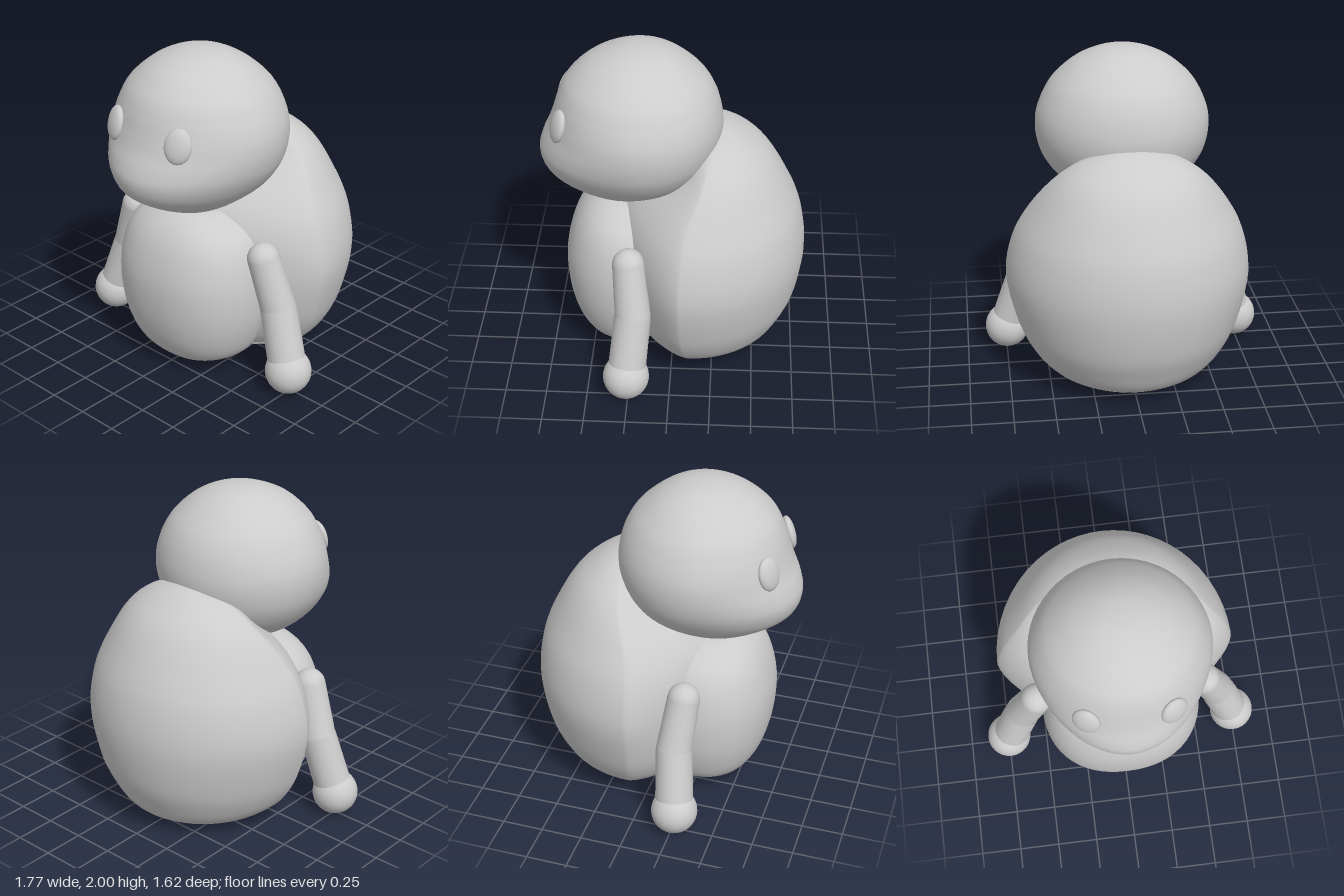
import * as THREE from 'three';

const grey = new THREE.MeshStandardMaterial({ color: 0xcccccc });
grey.name = 'grey';

// Loft through rows [y, halfWidth, zBack, zCentre, zFront], from bottom to top.
function loft(rows, frontPower = 2, backPower = 2, segs = 56, steps = 64) {
  const curve = (f) => new THREE.CatmullRomCurve3(rows.map(f), false, 'catmullrom', 0.5);
  const a = curve((r) => new THREE.Vector3(r[0], r[1], 0));
  const b = curve((r) => new THREE.Vector3(r[2], r[3], r[4]));
  const pos = [], idx = [];
  const bottom = rows[0][0], top = rows[rows.length - 1][0];
  for (let j = 0; j <= steps; j++) {
    const p = a.getPoint(j / steps), q = b.getPoint(j / steps);
    const y = THREE.MathUtils.clamp(p.x, bottom, top), w = Math.max(p.y, 0);
    for (let i = 0; i < segs; i++) {
      const t = (i / segs) * Math.PI * 2, c = Math.cos(t), s = Math.sin(t);
      const e = 2 / (s > 0 ? frontPower : backPower);
      const depth = s > 0 ? q.z - q.y : q.y - q.x;
      pos.push(w * Math.sign(c) * Math.abs(c) ** e, y, q.y + depth * Math.sign(s) * Math.abs(s) ** e);
      if (j < steps) {
        const k = j * segs + i, n = j * segs + ((i + 1) % segs);
        idx.push(k, k + segs, n, n, k + segs, n + segs);
      }
    }
  }
  const g = new THREE.BufferGeometry();
  g.setAttribute('position', new THREE.Float32BufferAttribute(pos, 3));
  g.setIndex(idx);
  g.computeVertexNormals();
  return g;
}

function add(parent, name, geometry) {
  const mesh = new THREE.Mesh(geometry, grey);
  mesh.name = name;
  parent.add(mesh);
  return mesh;
}

// Tapered limb between two points
function limb(parent, name, from, to, r0, r1) {
  const dir = to.clone().sub(from);
  const m = add(parent, name, new THREE.CylinderGeometry(r1, r0, dir.length(), 24, 1, true));
  m.position.copy(from).addScaledVector(dir, 0.5);
  m.quaternion.setFromUnitVectors(new THREE.Vector3(0, 1, 0), dir.normalize());
}

function ball(parent, name, at, r) {
  add(parent, name, new THREE.SphereGeometry(r, 28, 20)).position.copy(at);
}

export function createModel() {
  const model = new THREE.Group();
  model.name = 'seatedFigure';

  // Large rounded back, flat underneath and tapering forward
  add(model, 'back', loft([
    [0.045, 0, -0.15, -0.15, -0.15], [0.045, 0.4, -0.52, -0.12, 0.2], [0.055, 0.44, -0.57, -0.12, 0.22],
    [0.1, 0.52, -0.64, -0.11, 0.27], [0.2, 0.61, -0.7, -0.09, 0.32], [0.37, 0.69, -0.77, -0.07, 0.36],
    [0.65, 0.75, -0.81, -0.06, 0.38], [0.9, 0.71, -0.78, -0.07, 0.38], [1.1, 0.61, -0.7, -0.1, 0.27],
    [1.3, 0.46, -0.58, -0.18, 0.02], [1.42, 0.3, -0.44, -0.22, -0.05], [1.48, 0.12, -0.32, -0.24, -0.16],
    [1.49, 0, -0.25, -0.25, -0.25],
  ], 1.45));

  // Rounded belly
  add(model, 'belly', loft([
    [0.045, 0, 0.27, 0.27, 0.27], [0.045, 0.22, 0.1, 0.27, 0.46], [0.06, 0.29, 0.05, 0.26, 0.51],
    [0.13, 0.39, 0, 0.25, 0.575], [0.25, 0.45, -0.05, 0.25, 0.63], [0.42, 0.49, -0.08, 0.25, 0.665],
    [0.62, 0.495, -0.08, 0.25, 0.67], [0.8, 0.46, -0.05, 0.25, 0.63], [0.92, 0.39, 0, 0.25, 0.57],
    [1.0, 0.27, 0.05, 0.26, 0.49], [1.035, 0.15, 0.1, 0.27, 0.41], [1.04, 0, 0.28, 0.28, 0.28],
  ], 2.25));

  // Head with a forward muzzle
  add(model, 'head', loft([
    [1.03, 0, 0.36, 0.36, 0.36], [1.035, 0.12, 0.22, 0.34, 0.43], [1.08, 0.24, 0.05, 0.3, 0.55],
    [1.15, 0.345, -0.1, 0.26, 0.68], [1.23, 0.43, -0.19, 0.23, 0.78], [1.33, 0.495, -0.25, 0.22, 0.813],
    [1.42, 0.525, -0.28, 0.22, 0.793], [1.51, 0.535, -0.29, 0.22, 0.752], [1.6, 0.525, -0.28, 0.22, 0.72],
    [1.7, 0.487, -0.25, 0.22, 0.687], [1.8, 0.425, -0.19, 0.22, 0.635], [1.9, 0.315, -0.08, 0.21, 0.53],
    [1.96, 0.205, 0.02, 0.21, 0.41], [1.99, 0.105, 0.11, 0.21, 0.31], [2.0, 0, 0.21, 0.21, 0.21],
  ], 1.95));

  for (const side of [1, -1]) {
    const label = side > 0 ? 'left' : 'right';

    // Oval eye
    const eye = add(model, label + 'Eye', new THREE.SphereGeometry(1, 28, 20));
    eye.scale.set(0.083, 0.104, 0.036);
    eye.position.set(side * 0.25, 1.595, 0.668);
    eye.rotation.set(-0.27, side * 0.4, 0);

    // Arm with round shoulder, elbow and hand
    const arm = new THREE.Group();
    arm.name = label + 'Arm';
    model.add(arm);
    const shoulder = new THREE.Vector3(side * 0.527, 0.83, 0.25);
    const elbow = new THREE.Vector3(side * 0.625, 0.52, 0.222);
    const hand = new THREE.Vector3(side * 0.743, 0.15, 0.26);
    ball(arm, 'shoulder', shoulder, 0.097);
    limb(arm, 'upperArm', elbow, shoulder, 0.108, 0.097);
    ball(arm, 'elbow', elbow, 0.108);
    limb(arm, 'forearm', hand, elbow, 0.115, 0.11);
    ball(arm, 'hand', hand, 0.14);
  }
  // Stand the hands on the ground
  model.children.forEach((c) => { if (c.name.endsWith('Arm')) c.position.y = -0.01; });
  return model;
}
